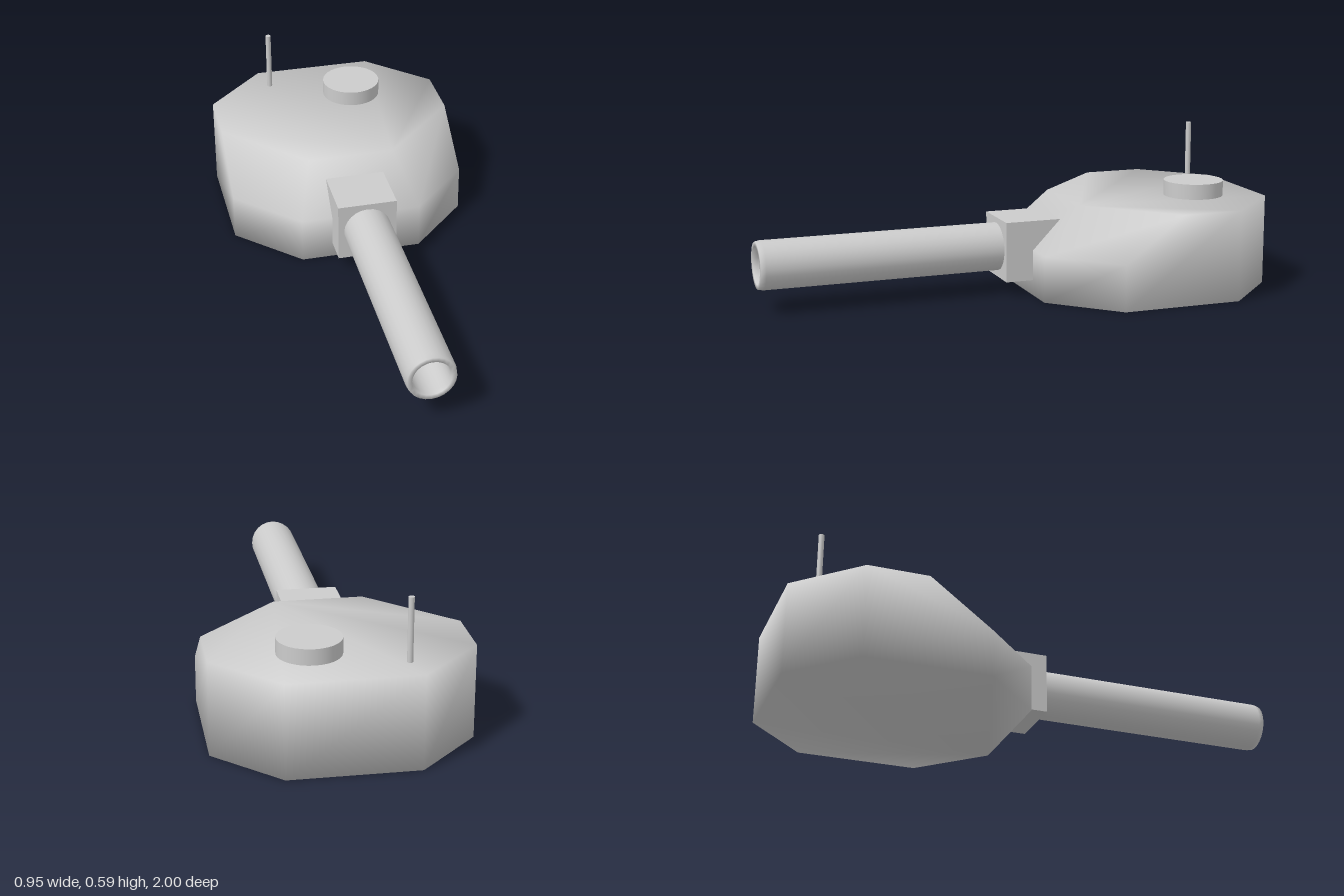
import * as THREE from 'three';
import { mergeVertices } from 'three/addons/utils/BufferGeometryUtils.js';

// Stacks closed rings (counter-clockwise from above) into a capped, smooth solid
function solidFromRings(rings) {
  const n = rings[0].length;
  const index = [];
  for (let r = 0; r < rings.length - 1; r++) {
    for (let i = 0; i < n; i++) {
      const a = r * n + i, b = r * n + (i + 1) % n;
      index.push(a, b, b + n, a, b + n, a + n);
    }
  }
  const top = (rings.length - 1) * n;
  for (let i = 1; i < n - 1; i++) {
    index.push(0, i + 1, i);
    index.push(top, top + i, top + i + 1);
  }
  const geometry = new THREE.BufferGeometry();
  geometry.setAttribute('position', new THREE.Float32BufferAttribute(rings.flat(2), 3));
  geometry.setIndex(index);
  const merged = mergeVertices(geometry, 1e-4);
  merged.computeVertexNormals();
  return merged;
}

// Mirrors the left half of an outline (front to back) to the right side
const mirrored = (half) => [...half, ...half.map(([x, y, z]) => [-x, y, z]).reverse()];

export function createModel() {
  const model = new THREE.Group();
  model.name = 'turret';
  const material = new THREE.MeshStandardMaterial({ color: 0xcccccc });

  const add = (name, geometry, x = 0, y = 0, z = 0) => {
    const mesh = new THREE.Mesh(geometry, material);
    mesh.name = name;
    mesh.position.set(x, y, z);
    model.add(mesh);
    return mesh;
  };

  // Octagonal hull, upper front edges cut at 45 degrees
  const height = 0.355, shoulder = 0.18;
  const back = (y) => [[0.475, y, -0.77], [0.24, y, -1]];
  add('hull', solidFromRings([
    mirrored([[0.24, 0, -0.06], [0.475, 0, -0.295], ...back(0)]),
    mirrored([[0.24, shoulder, -0.06], [0.475, shoulder, -0.295], ...back(height)]),
    mirrored([[0.17, height, -0.23], [0.475, height, -0.535], ...back(height)]),
  ]));

  // Block holding the gun
  add('mantlet', new THREE.BoxGeometry(0.235, 0.235, 0.25), 0, 0.178, -0.075);

  // Hollow barrel: outer wall, muzzle rim, bore and bore floor
  const profile = [[0.094, 0], [0.094, 0.98], [0.09, 1], [0.072, 1], [0.07, 0.98], [0.07, 0.6], [0, 0.6]]
    .map(([r, h]) => new THREE.Vector2(r, h));
  add('barrel', new THREE.LatheGeometry(profile, 24), 0, 0.18, 0).rotation.x = Math.PI / 2;

  // Roof fittings
  add('hatch', new THREE.CylinderGeometry(0.118, 0.118, 0.08, 32), 0.117, 0.375, -0.743);
  add('antenna', new THREE.CylinderGeometry(0.011, 0.011, 0.253, 12), -0.21, 0.4665, -0.88);

  return model;
}
